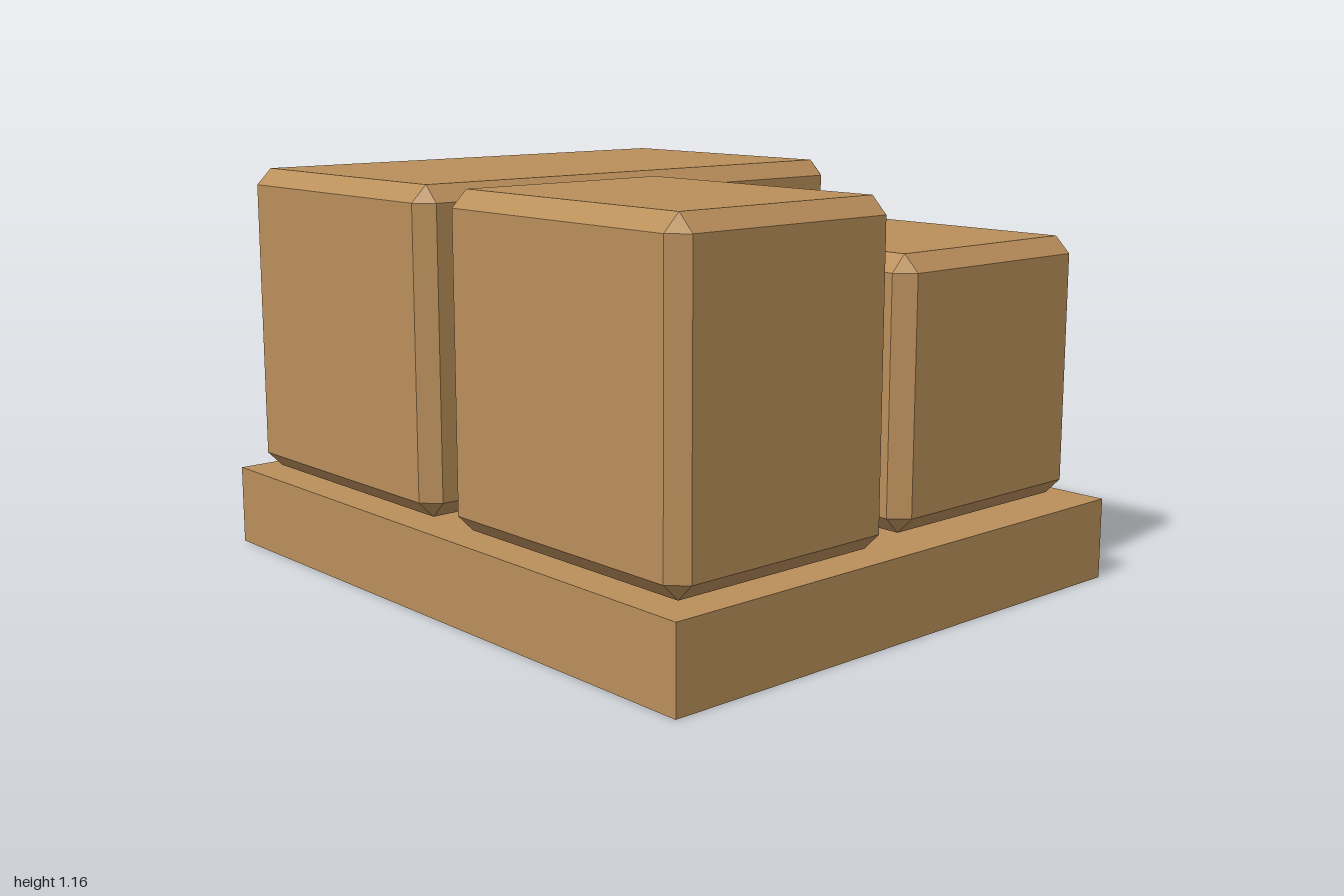
import * as THREE from 'three';
import { ConvexGeometry } from 'three/addons/geometries/ConvexGeometry.js';

const cardboard = new THREE.MeshStandardMaterial({ color: 0xba8f5b });
cardboard.name = 'cardboard brown';

const BEVEL = 0.047;

// Box with every edge cut at 45 degrees and a small triangle on each corner
function bevelledBox(w, h, d) {
  const half = [w / 2, h / 2, d / 2];
  const points = [];
  for (const sx of [-1, 1]) for (const sy of [-1, 1]) for (const sz of [-1, 1]) {
    const sign = [sx, sy, sz];
    for (let outer = 0; outer < 3; outer++) {
      points.push(new THREE.Vector3(
        ...half.map((s, i) => sign[i] * (i === outer ? s : s - BEVEL))));
    }
  }
  return new ConvexGeometry(points);
}

export function createModel() {
  const group = new THREE.Group();
  group.name = 'boxesOnBase';

  // Flat base slab
  const base = new THREE.Mesh(new THREE.BoxGeometry(2, 0.235, 1.665), cardboard);
  base.name = 'base';
  base.position.y = 0.1175;
  group.add(base);

  // Three boxes resting just above the slab: [name, x range, top, z range]
  const bottom = 0.245;
  const boxes = [
    ['longBox', -0.956, -0.045, 1.16, -0.79, 0.79],
    ['frontBox', 0.045, 0.956, 1.16, 0.042, 0.79],
    ['backBox', 0.082, 0.914, 0.994, -0.79, -0.042],
  ];
  for (const [name, x0, x1, top, z0, z1] of boxes) {
    const box = new THREE.Mesh(bevelledBox(x1 - x0, top - bottom, z1 - z0), cardboard);
    box.name = name;
    box.position.set((x0 + x1) / 2, (top + bottom) / 2, (z0 + z1) / 2);
    group.add(box);
  }
  return group;
}
